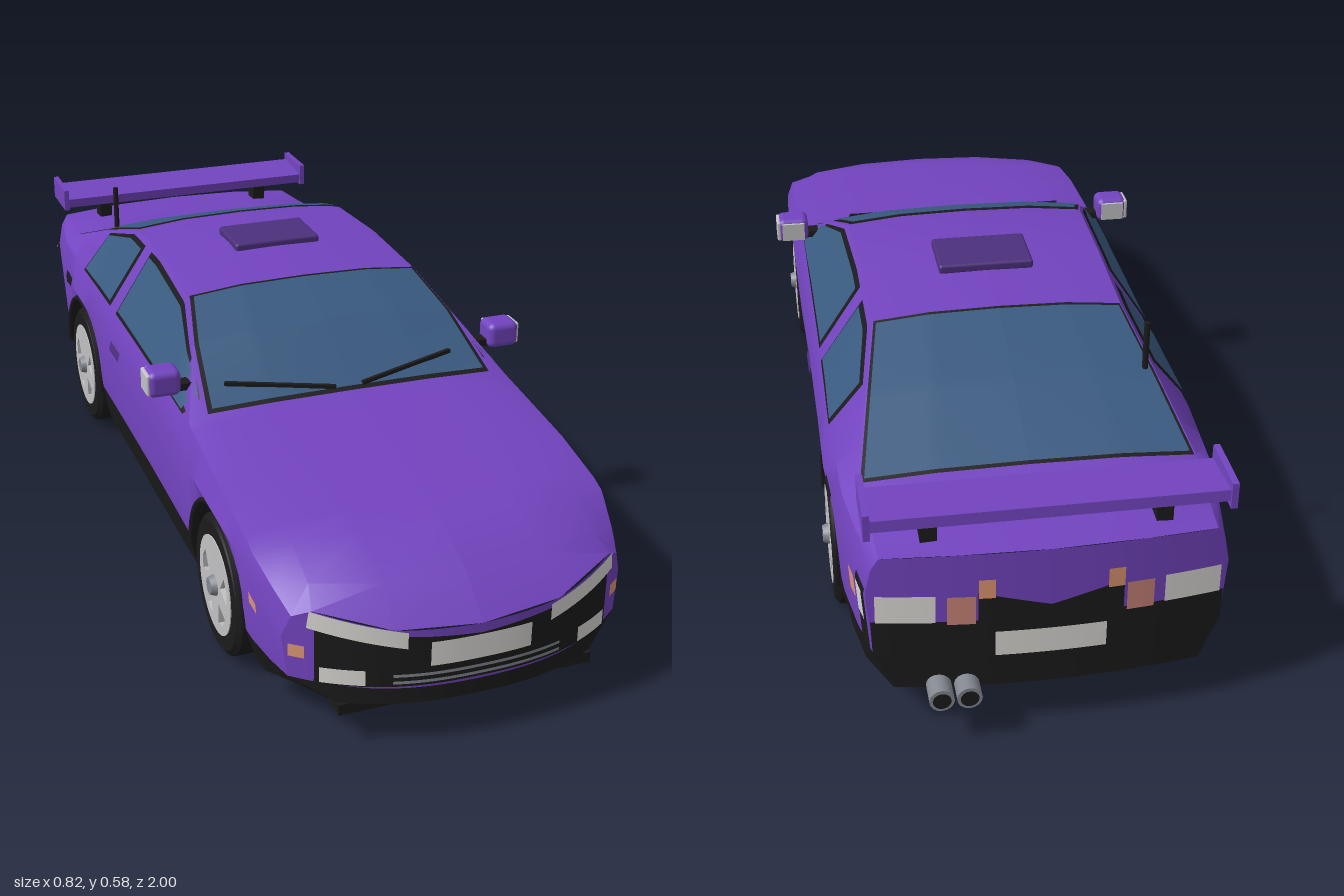
import * as THREE from 'three';
import { toCreasedNormals } from 'three/addons/utils/BufferGeometryUtils.js';
import { RoundedBoxGeometry } from 'three/addons/geometries/RoundedBoxGeometry.js';

const paint = (name, color) => Object.assign(new THREE.MeshStandardMaterial({ color }), { name });
const purple = paint('purple paint', 0x7344c0), darkPurple = paint('dark purple', 0x4c307c);
const black = paint('black trim', 0x1b1b1b), glass = paint('blue glass', 0x395a80);
const white = paint('white lamp', 0xdcdad6), silver = paint('silver', 0xc2c2c4);
const steel = paint('steel grey', 0x83878f), orange = paint('orange lamp', 0xdd9670);
const red = paint('pink lamp', 0xc98478);

// Body stations: z, floor y, floor half width, sill y, waist y, waist w, shoulder y, w, rail y, w, centre y
const keys = [
  [0.993, 0.09, 0.25, 0.13, 0.21, 0.335, 0.255, 0.32, 0.272, 0.29, 0.235],
  [0.92, 0.08, 0.28, 0.135, 0.25, 0.35, 0.285, 0.335, 0.3, 0.28, 0.298],
  [0.8, 0.07, 0.33, 0.14, 0.29, 0.362, 0.32, 0.35, 0.335, 0.28, 0.342],
  [0.6, 0.07, 0.34, 0.15, 0.312, 0.37, 0.355, 0.352, 0.365, 0.28, 0.373],
  [0.36, 0.07, 0.34, 0.155, 0.32, 0.368, 0.385, 0.345, 0.395, 0.31, 0.4],
  [0.2, 0.07, 0.34, 0.155, 0.32, 0.366, 0.39, 0.345, 0.475, 0.288, 0.492],
  [0.07, 0.07, 0.34, 0.155, 0.32, 0.365, 0.39, 0.345, 0.528, 0.258, 0.543],
  [-0.15, 0.07, 0.34, 0.155, 0.32, 0.365, 0.39, 0.345, 0.542, 0.25, 0.558],
  [-0.37, 0.07, 0.34, 0.155, 0.32, 0.366, 0.39, 0.347, 0.528, 0.25, 0.542],
  [-0.55, 0.07, 0.34, 0.155, 0.32, 0.368, 0.39, 0.35, 0.47, 0.282, 0.483],
  [-0.73, 0.075, 0.335, 0.16, 0.32, 0.358, 0.38, 0.345, 0.4, 0.315, 0.41],
  [-0.85, 0.085, 0.32, 0.165, 0.315, 0.343, 0.375, 0.33, 0.392, 0.305, 0.4],
  [-0.965, 0.1, 0.28, 0.18, 0.31, 0.325, 0.36, 0.315, 0.385, 0.3, 0.392],
];
const FRONT = keys[0][0], REAR = keys[keys.length - 1][0];
const wheelZ = [0.57, -0.52], ARCH = 0.165, AXLE = 0.14;
const { clamp, lerp } = THREE.MathUtils;

// Rounds the nose and tail in plan
const bend = (x, z) => z
  - 0.12 * Math.pow(Math.abs(x) / 0.34, 2.5) * clamp((z - 0.74) / 0.253, 0, 1)
  + 0.025 * Math.pow(Math.abs(x) / 0.3, 2) * clamp((-z - 0.75) / 0.215, 0, 1);

// Half cross-section: ten [x, y] points from floor centre to roof centre
function section(z) {
  let i = 0;
  while (i < keys.length - 2 && z < keys[i + 1][0]) i++;
  const k = clamp((keys[i][0] - z) / (keys[i][0] - keys[i + 1][0]), 0, 1);
  const [, b, wb, s, m, wm, h, wh, e, we, c] = keys[i].map((v, j) => lerp(v, keys[i + 1][j], k));
  let a = 0;
  for (const w of wheelZ) {
    const d = Math.abs(z - w);
    if (d <= ARCH + 1e-6) a = AXLE + Math.sqrt(Math.max(0, ARCH * ARCH - d * d));
  }
  const wi = Math.min(0.26, wb - 0.01), lip = Math.max(b, a);
  return [[0, b], [wi, b], [wi, lip], [wb + (a ? 0.02 : 0), lip], [wm - 0.01, Math.max(s, a)], [wm, m],
    [wh, h], [we, e], [we * 0.55, e + (c - e) * 0.8], [0, c]];
}
function pt(z, r) {
  const S = section(z), i = Math.min(8, Math.floor(r)), f = clamp(r - i, 0, 1);
  const x = lerp(S[i][0], S[i + 1][0], f);
  return new THREE.Vector3(x, lerp(S[i][1], S[i + 1][1], f), bend(x, z));
}

// Surface grid from fn(i, j); flip reverses the faces
function grid(nu, nv, fn, flip) {
  const pos = [], idx = [];
  for (let i = 0; i <= nu; i++) for (let j = 0; j <= nv; j++) pos.push(...fn(i, j).toArray());
  for (let i = 0; i < nu; i++) for (let j = 0; j < nv; j++) {
    const a = i * (nv + 1) + j, b = a + nv + 1;
    if (flip) idx.push(a, b + 1, b, a, a + 1, b + 1);
    else idx.push(a, b, b + 1, a, b + 1, a + 1);
  }
  const g = new THREE.BufferGeometry();
  g.setAttribute('position', new THREE.Float32BufferAttribute(pos, 3));
  g.setIndex(idx);
  g.computeVertexNormals();
  return g;
}

export function createModel() {
  const car = new THREE.Group();
  car.name = 'sportsCar';
  const add = (name, geo, mat, x = 0, y = 0, z = 0, parent = car) => {
    const mesh = new THREE.Mesh(geo, mat);
    mesh.name = name;
    mesh.position.set(x, y, z);
    parent.add(mesh);
    return mesh;
  };
  const sides = [1, -1];
  const box = (w, h, d) => new THREE.BoxGeometry(w, h, d);

  // Body shell with wheel wells
  const stations = keys.map(k => k[0]);
  for (const w of wheelZ) {
    stations.push(w + ARCH + 0.001, w - ARCH - 0.001);
    for (let i = 0; i <= 16; i++) stations.push(w + ARCH * Math.cos(i * Math.PI / 16));
  }
  stations.sort((a, b) => b - a);
  for (const s of sides) {
    const shell = (name, r0, r1, mat) => add(name, toCreasedNormals(grid(stations.length - 1, r1 - r0, (i, j) => {
      const p = pt(stations[i], r0 + j);
      p.x *= s;
      return p;
    }, s < 0), 0.55), mat);
    shell('lowerBody', 0, 4, black);
    shell('bodyShell', 4, 9, purple);
  }

  // Nose and tail faces
  for (const z of [FRONT, REAR]) {
    const S = section(z), rise = S[9][1] - S[7][1];
    const cap = (name, r0, r1, mat) => add(name, grid(20, r1 - r0, (i, j) => {
      const f = i / 10 - 1, q = Math.abs(f), [w, y] = S[r0 + j];
      const lift = q > 0.55 ? 0.8 * (1 - q) / 0.45 : 1 - 0.2 * q / 0.55;
      return new THREE.Vector3(w * f, y + rise * lift * (r0 + j - 3) / 4, bend(w * f, z));
    }, z < 0), mat);
    cap('bumperLower', 3, 4, black);
    cap('endPanel', 4, 7, purple);
  }

  // Thin plate on the body sides or top: z front to rear, rows low to high, on both sides
  const plate = (name, mat, z0, z1, r0, r1, off = 0.004) => {
    for (const s of sides) add(name, grid(24, 24, (i, j) => {
      const z = lerp(z0, z1, i / 24), r = lerp(r0, r1, j / 24), e = 0.002;
      const n = pt(z - e, r).sub(pt(z + e, r)).cross(pt(z, Math.min(9, r + e)).sub(pt(z, r - e))).normalize();
      const p = pt(z, r).addScaledVector(n, off);
      if (r === 9) p.x = 0;
      p.x *= s;
      return p;
    }, s < 0), mat);
  };
  // Thin plate on the nose (z > 0) or tail: corners bottom inner, bottom outer, top outer, top inner
  const facePlate = (name, mat, z, c, off = 0.004) => {
    for (const s of sides) add(name, grid(12, 2, (i, j) => {
      const u = i / 12, v = j / 2;
      const at = k => lerp(lerp(c[0][k], c[1][k], u), lerp(c[3][k], c[2][k], u), v);
      return new THREE.Vector3(at(0) * s, at(1), bend(at(0), z) + Math.sign(z) * off);
    }, s * z < 0), mat);
  };
  const rect = (x0, x1, y0, y1) => [[x0, y0], [x1, y0], [x1, y1], [x0, y1]];

  // Glazing over dark seals
  plate('windscreenSeal', black, 0.358, 0.066, 7.03, 9, 0.003);
  plate('windscreen', glass, 0.35, 0.074, 7.1, 9, 0.006);
  plate('rearWindowSeal', black, -0.37, -0.734, 7.03, 9, 0.003);
  plate('rearWindow', glass, -0.378, -0.726, 7.08, 9, 0.006);
  plate('doorWindowSeal', black, 0.32, -0.22, 6.0, 6.93, 0.003);
  plate('doorWindow', glass, 0.305, -0.21, 6.05, 6.86, 0.006);
  plate('quarterWindowSeal', black, -0.27, -0.515, 6.0, 6.93, 0.003);
  plate('quarterWindow', glass, -0.28, -0.505, 6.05, 6.86, 0.006);

  // Side details
  plate('sideVent', black, -0.6, -0.67, 4.85, 5.25);
  plate('doorHandle', darkPurple, -0.12, -0.2, 4.97, 5.2, 0.006);
  plate('frontSideMarker', orange, 0.87, 0.82, 4.6, 4.76);
  plate('rearSideMarker', orange, -0.85, -0.89, 4.58, 4.92);
  plate('sideLampFrame', black, -0.905, -0.964, 4, 5.2, 0.003);
  plate('sideLamp', white, -0.917, -0.957, 4.54, 5.02, 0.006);

  // Nose details
  facePlate('frontGrille', black, FRONT, [[0, 0.128], [0.287, 0.128], [0.287, 0.243], [0, 0.218]], 0.003);
  facePlate('headlight', white, FRONT, [[0.138, 0.207], [0.3, 0.24], [0.296, 0.274], [0.138, 0.24]], 0.006);
  facePlate('fogLight', white, FRONT, rect(0.208, 0.28, 0.132, 0.163), 0.006);
  facePlate('numberPlate', white, FRONT, rect(0, 0.097, 0.168, 0.217), 0.006);
  facePlate('frontMarker', orange, FRONT, rect(0.302, 0.326, 0.175, 0.2));
  for (const y of [0.138, 0.152]) facePlate('grilleBar', steel, FRONT, rect(0, 0.162, y - 0.003, y + 0.003), 0.006);
  add('frontLip', box(0.5, 0.022, 0.14), black, 0, 0.077, 0.875);

  // Tail details
  facePlate('rearBumper', black, REAR, [[0, 0.175], [0.315, 0.175], [0.318, 0.25], [0, 0.25]], 0.003);
  facePlate('rearGarnish', black, REAR, [[0, 0.25], [0.13, 0.25], [0.13, 0.31], [0, 0.275]], 0.003);
  facePlate('tailLamp', white, REAR, rect(0.205, 0.31, 0.25, 0.308), 0.006);
  facePlate('brakeLamp', red, REAR, rect(0.135, 0.185, 0.245, 0.305), 0.006);
  facePlate('rearIndicator', orange, REAR, rect(0.1, 0.13, 0.3, 0.34), 0.006);
  facePlate('rearNumberPlate', white, REAR, rect(0, 0.1, 0.172, 0.225), 0.006);

  // Twin exhaust
  for (const x of [0.15, 0.2]) {
    add('exhaustPipe', new THREE.CylinderGeometry(0.023, 0.023, 0.1, 16), steel, x, 0.105, -0.948).rotation.x = Math.PI / 2;
    add('exhaustBore', new THREE.CircleGeometry(0.017, 16), black, x, 0.105, -0.9995).rotation.y = Math.PI;
  }

  // Roof hatch and antenna
  add('roofHatch', new RoundedBoxGeometry(0.195, 0.02, 0.13, 2, 0.006), darkPurple, 0, 0.558, -0.165);
  add('antenna', new THREE.CylinderGeometry(0.006, 0.006, 0.12, 8), black, -0.26, 0.52, -0.54);

  // Wipers
  const wiper = (a, b) => {
    const A = new THREE.Vector3(...a), B = new THREE.Vector3(...b);
    const m = add('wiper', box(0.008, 0.008, A.distanceTo(B)), black);
    m.position.copy(A).add(B).multiplyScalar(0.5);
    m.lookAt(B);
  };
  wiper([-0.255, 0.435, 0.308], [-0.033, 0.413, 0.352]);
  wiper([0.025, 0.413, 0.352], [0.237, 0.435, 0.308]);

  // Rear wing
  add('wingBlade', box(0.635, 0.022, 0.115), purple, 0, 0.455, -0.892).rotation.x = 0.08;
  for (const s of sides) {
    add('wingEndPlate', box(0.012, 0.052, 0.125), purple, s * 0.32, 0.461, -0.892);
    add('wingStrut', box(0.03, 0.07, 0.045), black, s * 0.21, 0.415, -0.89);
  }

  // Door mirrors
  for (const s of sides) {
    add('mirrorHousing', new RoundedBoxGeometry(0.068, 0.055, 0.06, 3, 0.014), purple, s * 0.372, 0.441, 0.262);
    add('mirrorOuterCap', new RoundedBoxGeometry(0.01, 0.046, 0.05, 2, 0.004), silver, s * 0.404, 0.441, 0.26);
    add('mirrorGlass', box(0.05, 0.04, 0.006), silver, s * 0.372, 0.441, 0.231);
    add('mirrorArm', box(0.04, 0.015, 0.03), black, s * 0.332, 0.425, 0.262);
  }

  // Wheels: tyre, brake disc, five-hole rim and hub; local +z faces outwards
  const tyre = new THREE.LatheGeometry([[0.096, -0.042], [0.128, -0.042], [0.14, -0.032], [0.14, 0.032],
    [0.128, 0.042], [0.096, 0.042], [0.094, 0.02]].map(p => new THREE.Vector2(...p)), 40);
  const face = new THREE.Shape().absarc(0, 0, 0.099, 0, Math.PI * 2);
  for (let i = 0; i < 5; i++) {
    const a = i * Math.PI * 0.4 + Math.PI / 2;
    const p = (r, d) => new THREE.Vector2(r * Math.cos(a + d), r * Math.sin(a + d));
    face.holes.push(new THREE.Path([p(0.036, 0), p(0.076, -0.36), p(0.08, 0), p(0.076, 0.36)]));
  }
  const rim = new THREE.ExtrudeGeometry(face, { depth: 0.012, bevelEnabled: false, curveSegments: 20 });
  const arch = new THREE.TorusGeometry(ARCH, 0.007, 6, 28, Math.PI);
  for (const z of wheelZ) for (const s of sides) {
    const wheel = new THREE.Group();
    wheel.name = z > 0 ? 'frontWheel' : 'rearWheel';
    wheel.position.set(s * 0.318, AXLE, z);
    wheel.rotation.y = s * Math.PI / 2;
    car.add(wheel);
    add('tyre', toCreasedNormals(tyre, 0.6), black, 0, 0, 0, wheel).rotation.x = Math.PI / 2;
    add('brakeDisc', new THREE.CylinderGeometry(0.097, 0.097, 0.05, 32), steel, 0, 0, 0, wheel).rotation.x = Math.PI / 2;
    add('rim', rim, silver, 0, 0, 0.032, wheel);
    add('hubCap', new THREE.CylinderGeometry(0.017, 0.022, 0.014, 16), steel, 0, 0, 0.049, wheel).rotation.x = Math.PI / 2;
    add('archTrim', arch, black, s * 0.359, AXLE, z).rotation.y = Math.PI / 2;
  }
  return car;
}
